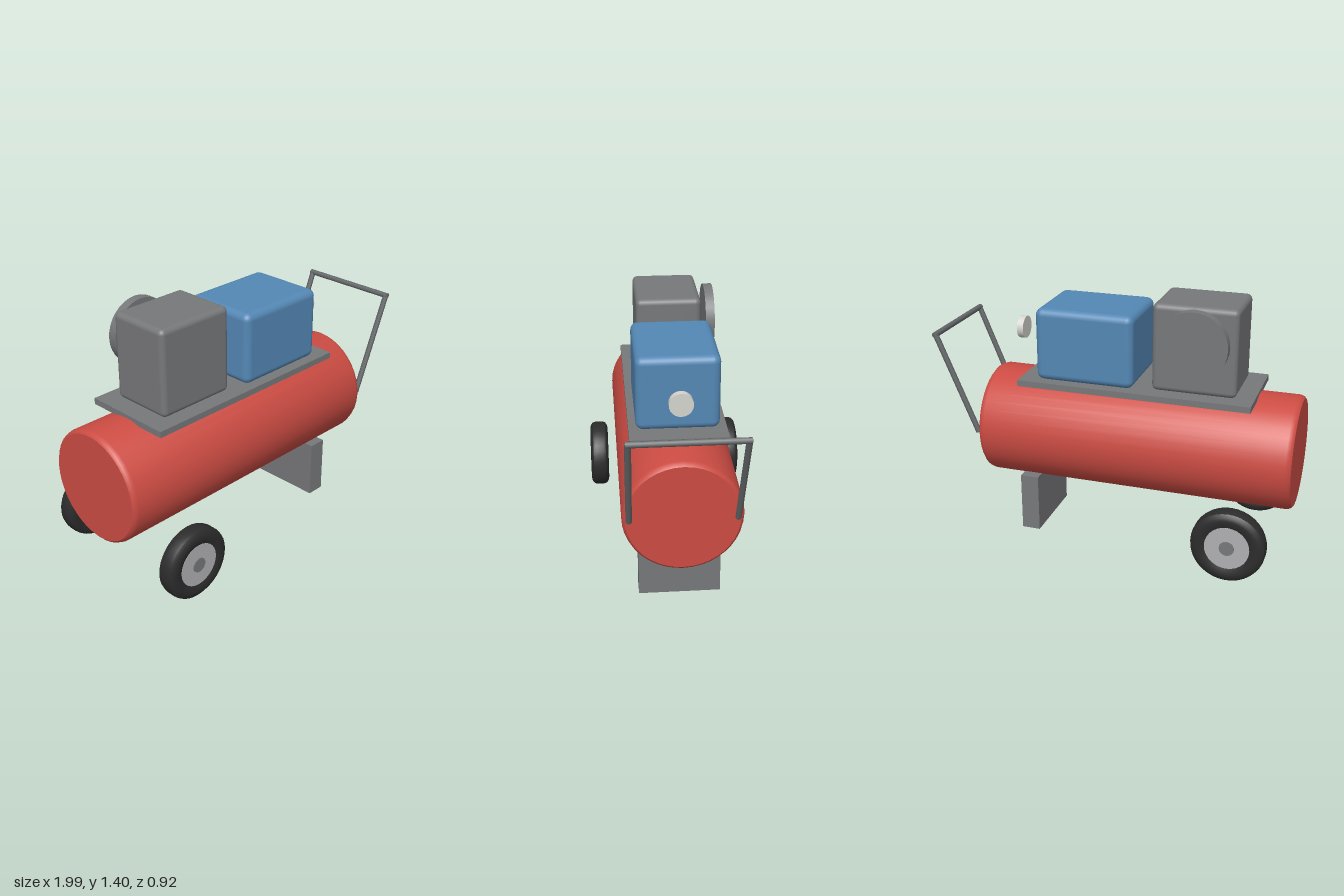
import * as THREE from 'three';
import { toCreasedNormals } from 'three/addons/utils/BufferGeometryUtils.js';
import { RoundedBoxGeometry } from 'three/addons/geometries/RoundedBoxGeometry.js';

const paint = (name, color) => {
  const m = new THREE.MeshStandardMaterial({ color });
  m.name = name;
  return m;
};

export function createModel() {
  const red = paint('tank red', 0xcc4c43);
  const blue = paint('motor blue', 0x5488b5);
  const grey = paint('machine grey', 0x77787a);
  const dark = paint('handle grey', 0x66696b);
  const black = paint('tyre black', 0x2c2c2c);
  const silver = paint('rim silver', 0xb0b0b4);
  const pale = paint('cap pale', 0xd6d5d0);

  const root = new THREE.Group();
  root.name = 'airCompressor';
  const add = (name, geometry, material, x, y, z, parent = root) => {
    const mesh = new THREE.Mesh(geometry, material);
    mesh.name = name;
    mesh.position.set(x, y, z);
    parent.add(mesh);
    return mesh;
  };
  const lathe = (pts, n) => toCreasedNormals(
    new THREE.LatheGeometry(pts.map(p => new THREE.Vector2(...p)), n), 0.6);

  // Horizontal tank with softly bevelled ends
  const tank = lathe([
    [0, -0.87], [0.292, -0.87], [0.304, -0.86], [0.31, -0.84],
    [0.31, 0.84], [0.304, 0.86], [0.292, 0.87], [0, 0.87],
  ], 40);
  add('tank', tank.rotateZ(-Math.PI / 2), red, -0.13, 0.595, 0);

  // Deck, foot and machinery
  add('deck', new THREE.BoxGeometry(1.285, 0.034, 0.51), grey, -0.1275, 0.907, 0);
  add('foot', new THREE.BoxGeometry(0.104, 0.33, 0.44), grey, 0.48, 0.165, 0);
  add('pumpBlock', new RoundedBoxGeometry(0.456, 0.476, 0.36, 3, 0.03), grey, -0.448, 1.162, 0);
  add('motor', new RoundedBoxGeometry(0.546, 0.4, 0.436, 3, 0.04), blue, 0.147, 1.124, 0);
  add('flywheel', new THREE.CylinderGeometry(0.183, 0.183, 0.05, 32).rotateX(Math.PI / 2),
    grey, -0.46, 1.217, -0.24);
  add('airFilter', new THREE.CylinderGeometry(0.062, 0.062, 0.036, 24).rotateZ(Math.PI / 2),
    pale, 0.572, 1.146, 0);

  // Wheels: tyre, rim disc and hub on each side
  const tyre = lathe([
    [0.108, -0.04], [0.13, -0.05], [0.16, -0.055], [0.18, -0.05], [0.195, -0.038],
    [0.2, -0.02], [0.2, 0.02], [0.195, 0.038], [0.18, 0.05], [0.16, 0.055],
    [0.13, 0.05], [0.108, 0.04], [0.108, -0.04],
  ], 36).rotateX(Math.PI / 2);
  const disc = (r, w, n) => new THREE.CylinderGeometry(r, r, w, n).rotateX(Math.PI / 2);
  for (const s of [1, -1]) {
    const wheel = new THREE.Group();
    wheel.name = s > 0 ? 'frontWheel' : 'backWheel';
    wheel.position.set(-0.717, 0.206, s * 0.407);
    root.add(wheel);
    add('tyre', tyre, black, 0, 0, 0, wheel);
    add('rim', disc(0.12, 0.095, 28), silver, 0, 0, 0, wheel);
    add('hub', disc(0.04, 0.104, 20), grey, 0, 0, 0, wheel);
  }

  // Push handle made of thin bars
  const bar = (name, a, b) => {
    const from = new THREE.Vector3(...a), to = new THREE.Vector3(...b);
    const dir = to.clone().sub(from);
    const mesh = add(name, new THREE.CylinderGeometry(0.016, 0.016, dir.length(), 8), dark, 0, 0, 0);
    mesh.position.copy(from).add(to).multiplyScalar(0.5);
    mesh.quaternion.setFromUnitVectors(new THREE.Vector3(0, 1, 0), dir.normalize());
  };
  for (const s of [1, -1]) {
    bar(s > 0 ? 'frontHandleBar' : 'backHandleBar', [0.752, 0.595, s * 0.274], [0.98, 1.15, s * 0.278]);
  }
  bar('handleGrip', [0.978, 1.144, -0.29], [0.978, 1.144, 0.29]);

  return root;
}
